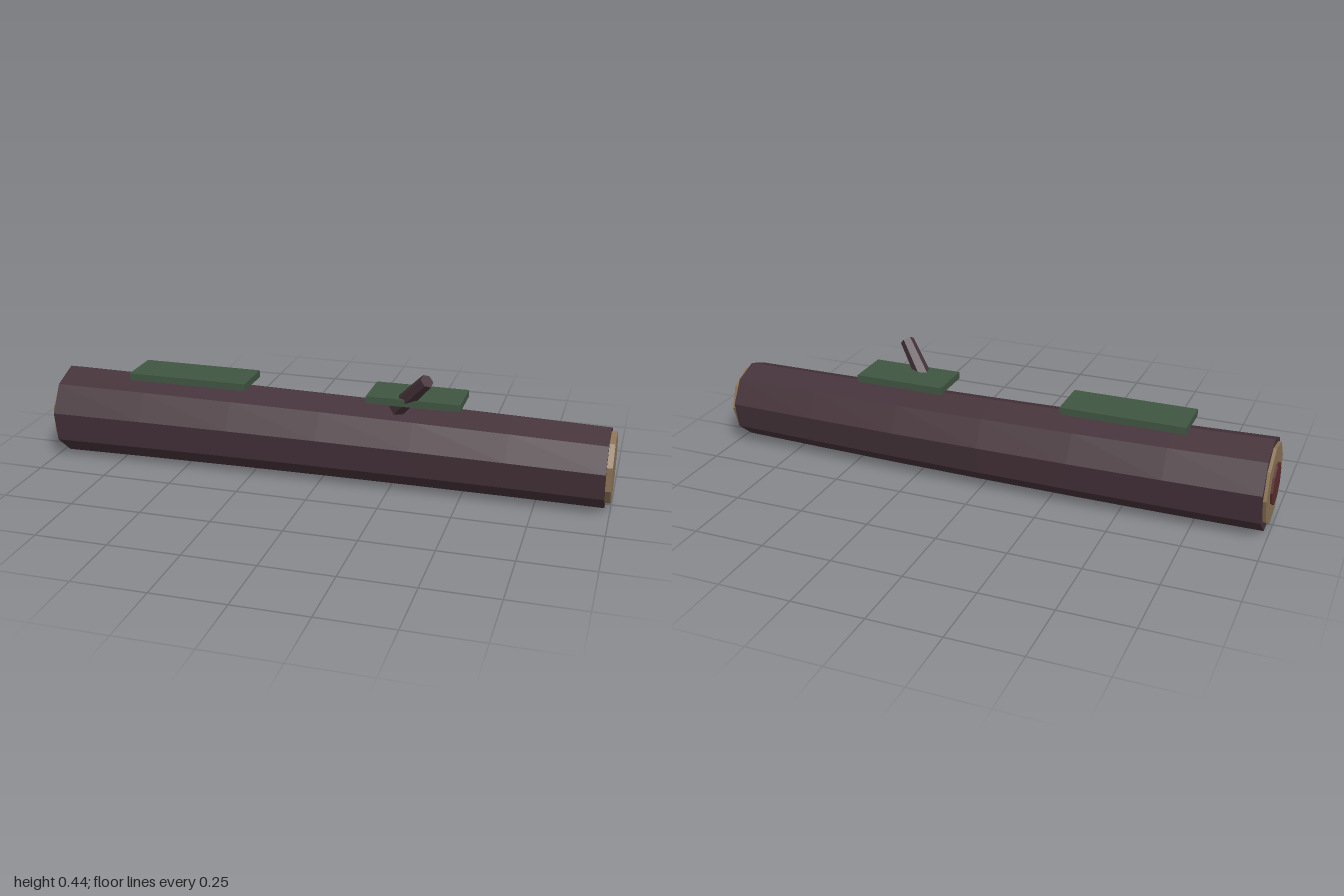
import * as THREE from 'three';

const mat = (color) => new THREE.MeshStandardMaterial({ color, flatShading: true });

export function createModel() {
  const model = new THREE.Group();
  model.name = 'fallenLog';
  const bark = mat(0x45333a), wood = mat(0x8b7355), core = mat(0x5c2e2e), moss = mat(0x405542);

  const add = (name, geometry, material, x = 0, y = 0, z = 0) => {
    const mesh = new THREE.Mesh(geometry, material);
    mesh.name = name;
    mesh.position.set(x, y, z);
    model.add(mesh);
    return mesh;
  };

  // Trunk: nine-sided taper lying along x, bowed gently towards the back
  const trunk = new THREE.CylinderGeometry(0.16, 0.139, 1.962, 9, 6, false, Math.PI / 2);
  trunk.rotateZ(Math.PI / 2);
  const p = trunk.attributes.position;
  for (let i = 0; i < p.count; i++) {
    const t = p.getX(i) / 0.981;
    p.setY(i, p.getY(i) + 0.1475 - 0.0055 * t);
    p.setZ(i, p.getZ(i) + 0.003 + 0.002 * t - 0.014 * (1 - t * t));
  }
  trunk.computeVertexNormals();
  add('trunk', trunk, bark);

  // Cut ends and the dark heartwood, each a thin disc with a corner to the back
  const disc = (name, material, r, x0, x1, y, z) => {
    const g = new THREE.CylinderGeometry(r, r, x1 - x0, 9, 1, false, Math.PI);
    g.rotateZ(Math.PI / 2);
    add(name, g, material, (x0 + x1) / 2, y, z);
  };
  disc('leftCutEnd', wood, 0.122, 0.97, 1, 0.142, 0.005);
  disc('rightCutEnd', wood, 0.14, -0.992, -0.97, 0.154, 0.002);
  disc('heartwood', core, 0.073, -1, -0.985, 0.154, 0.002);

  // Moss slabs on top
  for (const [x0, x1] of [[-0.705, -0.27], [0.165, 0.49]]) {
    add('mossPatch', new THREE.BoxGeometry(x1 - x0, 0.025, 0.162), moss, (x0 + x1) / 2, 0.325, 0.007);
  }

  // Broken branch stub
  const base = new THREE.Vector3(0.262, 0.285, 0.033);
  const tip = new THREE.Vector3(0.38, 0.42, 0.112);
  const dir = tip.clone().sub(base);
  const stub = add('branchStub', new THREE.CylinderGeometry(0.025, 0.031, dir.length(), 6), bark);
  stub.position.copy(base).add(tip).multiplyScalar(0.5);
  stub.quaternion.setFromUnitVectors(new THREE.Vector3(0, 1, 0), dir.normalize());

  return model;
}
